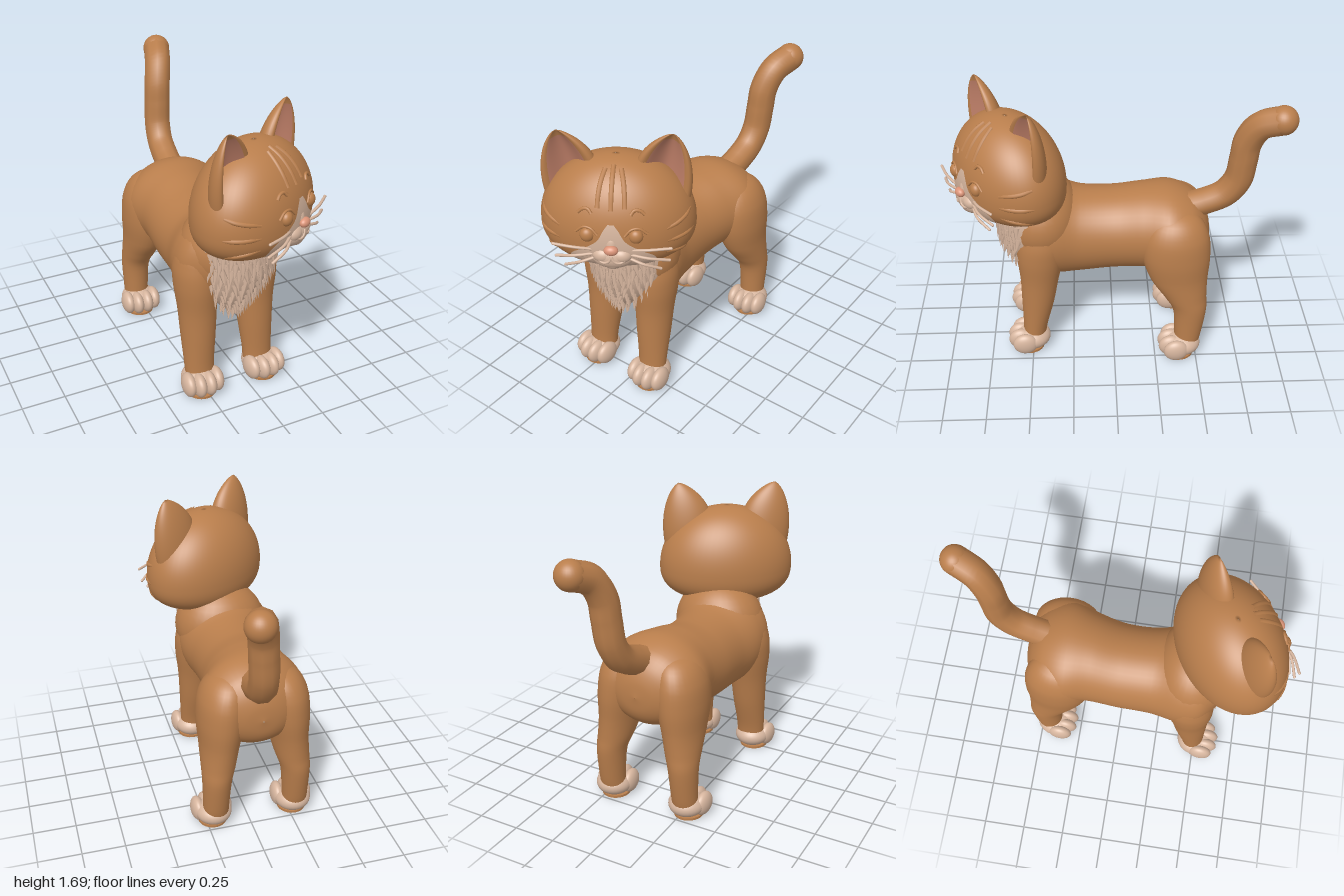
import * as THREE from 'three';
import { mergeGeometries } from 'three/addons/utils/BufferGeometryUtils.js';
import { ParametricGeometry } from 'three/addons/geometries/ParametricGeometry.js';

const V = (x, y, z) => new THREE.Vector3(x, y, z);
const material = (name, color) => {
  const m = new THREE.MeshStandardMaterial({ color });
  m.name = name;
  return m;
};

export function createModel() {
  const cat = new THREE.Group();
  cat.name = 'cat';
  const ginger = material('ginger fur', 0xb97e4c);
  const cream = material('cream fur', 0xd6b59e);
  const earPink = material('ear pink', 0xbf7f68);
  const nosePink = material('nose pink', 0xdb9478);

  const add = (parent, name, geometry, mat) => {
    const mesh = new THREE.Mesh(geometry, mat);
    mesh.name = name;
    parent.add(mesh);
    return mesh;
  };
  const ball = (parent, name, mat, p, s) => {
    const mesh = add(parent, name, new THREE.SphereGeometry(1, 32, 20), mat);
    mesh.position.set(...p);
    mesh.scale.set(...s);
    return mesh;
  };
  const surface = (parent, name, mat, fn, nu = 40, nv = 40) =>
    add(parent, name, new ParametricGeometry((u, v, out) => out.copy(fn(u, v)), nu, nv), mat);
  const tube = (parent, name, mat, points, r, n = 20) =>
    add(parent, name, new THREE.TubeGeometry(new THREE.CatmullRomCurve3(points), n, r, 10), mat);

  // Smooth elliptical sections; rows are [z, x, y, rx, ry] along z, or [y, x, z, rx, rz] along y
  const loft = (rows, axis) => {
    const spline = new THREE.CubicInterpolant(rows.map((_, i) => i), rows.flat(), 5);
    return (angle, v, grow = 0) => {
      const [h, x, c, ra, rb] = spline.evaluate(v * (rows.length - 1));
      const a = Math.max(ra, 0.001) + grow, b = Math.max(rb, 0.001) + grow;
      return axis === 'z'
        ? V(x + a * Math.cos(angle), c + b * Math.sin(angle), h)
        : V(x + a * Math.sin(angle), h, c + b * Math.cos(angle));
    };
  };
  const TAU = Math.PI * 2;

  // Torso and neck
  const torso = loft([
    [-0.575, -0.04, 0.76, 0.003, 0.003], [-0.56, -0.04, 0.76, 0.11, 0.1], [-0.52, -0.04, 0.77, 0.2, 0.175],
    [-0.45, -0.04, 0.78, 0.27, 0.23], [-0.33, -0.045, 0.79, 0.305, 0.26], [-0.18, -0.06, 0.785, 0.265, 0.255],
    [0, -0.08, 0.76, 0.25, 0.25], [0.2, -0.08, 0.755, 0.255, 0.265], [0.36, -0.08, 0.785, 0.29, 0.295],
    [0.48, -0.08, 0.81, 0.28, 0.27], [0.57, -0.07, 0.83, 0.2, 0.2], [0.62, -0.06, 0.83, 0.11, 0.12],
    [0.64, -0.06, 0.83, 0.003, 0.003]], 'z');
  surface(cat, 'torso', ginger, (u, v) => torso(u * TAU, v), 48, 64);
  ball(cat, 'neck', ginger, [-0.06, 0.87, 0.42], [0.28, 0.26, 0.235]);
  surface(cat, 'bellyPatch', cream, (u, v) =>
    torso(-Math.PI / 2 + (u - 0.5) * 1.1 * Math.sqrt(Math.sin(Math.PI * (0.01 + 0.98 * v))), 0.42 + v * 0.24, 0.004), 20, 20);

  // Legs and paws, each pair mirrored about its own midline
  const leg = (name, rows, mid, side) => {
    const shape = loft(rows.map(([y, x, ...r]) => [y, mid + side * x, ...r]), 'y');
    surface(cat, name, ginger, (u, v) => shape(u * TAU, v), 32, 36);
  };
  const paw = (name, x, z, side) => {
    const g = new THREE.Group();
    g.name = name;
    g.position.set(x, 0, z);
    g.rotation.y = side * 0.06;
    cat.add(g);
    ball(g, 'pawBody', cream, [0, 0.08, -0.015], [0.108, 0.072, 0.112]);
    [-0.083, -0.03, 0.03, 0.083].forEach((tx, i) =>
      ball(g, 'toe', cream, [tx, 0.078, i % 3 ? 0.055 : 0.03], [0.04, 0.07, 0.075]));
    const pad = add(g, 'pawPad', new THREE.CylinderGeometry(1, 1, 0.014, 32), ginger);
    pad.position.set(0, 0.007, 0.005);
    pad.scale.set(0.085, 1, 0.09);
  };
  const frontRows = [[0.09, 0.185, 0.49, 0.085, 0.07], [0.18, 0.185, 0.48, 0.088, 0.075], [0.35, 0.18, 0.458, 0.1, 0.098],
    [0.52, 0.178, 0.442, 0.11, 0.115], [0.68, 0.182, 0.43, 0.122, 0.138], [0.8, 0.18, 0.42, 0.12, 0.14],
    [0.9, 0.16, 0.42, 0.1, 0.11], [0.96, 0.14, 0.42, 0.003, 0.003]];
  const hindRows = [[0.08, 0.24, -0.44, 0.075, 0.075], [0.16, 0.24, -0.45, 0.076, 0.082], [0.33, 0.235, -0.455, 0.085, 0.1],
    [0.43, 0.22, -0.425, 0.1, 0.128], [0.55, 0.205, -0.385, 0.115, 0.17], [0.7, 0.19, -0.365, 0.137, 0.2],
    [0.84, 0.175, -0.36, 0.135, 0.19], [0.94, 0.15, -0.36, 0.1, 0.13], [1.0, 0.13, -0.36, 0.003, 0.003]];
  for (const [side, label] of [[-1, 'right'], [1, 'left']]) {
    leg(label + 'FrontLeg', frontRows, -0.08, side);
    paw(label + 'FrontPaw', -0.077 + side * 0.196, 0.52, side);
    leg(label + 'HindLeg', hindRows, -0.04, side);
    paw(label + 'HindPaw', -0.035 + side * 0.245, -0.4, side);
  }

  // Tail
  const tailPath = [V(-0.02, 0.93, -0.42), V(-0.01, 0.97, -0.54), V(0, 1.03, -0.65), V(0.01, 1.13, -0.715), V(0.02, 1.27, -0.735),
    V(0.03, 1.39, -0.75), V(0.06, 1.5, -0.81), V(0.1, 1.55, -0.92)];
  tube(cat, 'tail', ginger, tailPath, 0.082, 48);
  ball(cat, 'tailTip', ginger, [0.1, 1.55, -0.92], [0.082, 0.082, 0.081]);

  // Chest bib with overlapping tufts
  const chest = loft([[0.485, -0.075, 0.53, 0.01, 0.01], [0.55, -0.072, 0.49, 0.09, 0.09], [0.65, -0.06, 0.46, 0.18, 0.175],
    [0.77, -0.048, 0.455, 0.232, 0.22], [0.89, -0.045, 0.455, 0.245, 0.228], [1.0, -0.045, 0.455, 0.235, 0.22]], 'y');
  surface(cat, 'chestBib', cream, (u, v) => chest(u * TAU, v), 40, 30);
  const tufts = [];
  for (let row = 0; row < 13; row++) {
    const v = 0.1 + row * 0.07, count = 5 + Math.min(row, 8);
    for (let i = 0; i < count; i++) {
      const angle = ((i + (row % 2 ? 0.25 : 0.75)) / count - 0.5) * 2.3;
      const out = V(Math.sin(angle), 0, Math.cos(angle));
      const g = new THREE.ConeGeometry(0.024, 0.095, 7);
      g.scale(1, 1, 0.55);
      g.rotateX(Math.PI - 0.16);
      g.rotateZ(Math.sin(i * 4.1 + row * 2.3) * 0.22);
      g.rotateY(angle);
      const p = chest(angle, v).addScaledVector(out, 0.002);
      tufts.push(g.translate(p.x, p.y - 0.01, p.z));
    }
  }
  add(cat, 'chestTufts', mergeGeometries(tufts), cream);

  // Head, turned towards its left
  const head = new THREE.Group();
  head.name = 'head';
  head.position.set(-0.01, 0, 0.59);
  head.rotation.y = 0.56;
  cat.add(head);
  const skull = (phi, y, grow = 0) => {
    const t = Math.min(Math.abs(y < 1.18 ? (1.18 - y) / 0.22 : (y - 1.18) / 0.37), 0.99999);
    const p = y < 1.18 ? 2.6 : 2;
    const r = Math.pow(1 - Math.pow(t, p), 1 / p);
    return V((0.41 * r + grow) * Math.sin(phi), y, (0.29 * r + grow) * Math.cos(phi));
  };
  surface(head, 'skull', ginger, (u, v) => {
    const s = Math.sin((v - 0.5) * Math.PI);
    return skull(u * TAU, 1.18 + s * (s < 0 ? 0.22 : 0.37));
  }, 56, 56);

  // Pale muzzle and blaze
  const blaze = new THREE.CubicInterpolant([0.968, 1.05, 1.1, 1.15, 1.2, 1.27, 1.3], [0.66, 0.63, 0.55, 0.36, 0.19, 0.09, 0.04], 1);
  surface(head, 'muzzlePatch', cream, (u, v) => {
    const y = 0.968 + v * 0.332;
    return skull((u * 2 - 1) * blaze.evaluate(y)[0], y, 0.006);
  }, 30, 40);
  ball(head, 'muzzle', cream, [0, 1.1, 0.245], [0.115, 0.075, 0.07]);
  ball(head, 'chin', cream, [0, 1.06, 0.25], [0.05, 0.04, 0.05]);
  ball(head, 'noseBridge', cream, [0, 1.17, 0.265], [0.04, 0.07, 0.04]);
  ball(head, 'nose', nosePink, [0, 1.165, 0.308], [0.037, 0.027, 0.026]);

  for (const s of [-1, 1]) {
    // Cheeks, mouth and whiskers
    ball(head, 'whiskerPad', cream, [s * 0.045, 1.115, 0.268], [0.058, 0.044, 0.045]);
    tube(head, 'mouth', cream, [V(0, 1.125, 0.31), V(s * 0.015, 1.098, 0.313), V(s * 0.042, 1.088, 0.309),
      V(s * 0.068, 1.1, 0.298)], 0.007);
    [[1.145, 0.3, 1.17, 0.275], [1.122, 0.29, 1.09, 0.265], [1.1, 0.245, 1.035, 0.265]].forEach(([y0, x, y, z]) => {
      tube(head, 'whisker', cream, [V(s * 0.08, y0, 0.275), V(s * (x + 0.08) / 2, (y0 + y) / 2 + 0.008, 0.292), V(s * x, y, z)], 0.008, 12);
      ball(head, 'whiskerTip', cream, [s * x, y, z], [0.008, 0.008, 0.008]);
    });

    // Eyes and brows
    ball(head, 'eye', ginger, [s * 0.123, 1.23, 0.268], [0.037, 0.039, 0.03]);
    tube(head, 'eyelid', ginger, [-0.15, -0.06, 0.04, 0.14].map((d, i) =>
      skull(s * (0.32 + d), [1.238, 1.272, 1.274, 1.242][i], 0.003)), 0.007);
    tube(head, 'brow', ginger, [0.27, 0.33, 0.41, 0.47].map((a, i) =>
      skull(s * a, [1.345, 1.365, 1.362, 1.342][i], 0.003)), 0.009);

    // Raised fur ridges on cheeks and forehead
    [1.1, 1.17, 1.24].forEach((y, i) => tube(head, 'cheekRidge', ginger,
      [0.75, 0.95, 1.15, 1.35].map((a, k) => skull(s * a, y + (i - 1) * k * 0.014, -0.006 - (k % 3 ? 0 : 0.006))), 0.013));
    tube(head, 'foreheadRidge', ginger, [1.37, 1.43, 1.48, 1.52].map((y, i) =>
      skull(s * (0.2 + i * 0.02), y, -0.007)), 0.014);

    // Cupped ears with pink linings
    const ear = (a, t, lift = 0) => {
      const taper = Math.pow(Math.max(1 - Math.pow(t, 2.1), 0.0001), 0.72);
      const sn = Math.sin(a), w = 0.168 * taper * Math.cos(a), D = 0.095 * taper;
      const d = sn > 0 ? D * (0.9 * sn - 1.5 * sn ** 4) : D * sn;
      const tilt = 0.56 * (1 - t * 0.6);
      return V(s * (0.225 + 0.07 * t + w * Math.cos(tilt)), 1.345 + 0.34 * t - w * Math.sin(tilt), 0.005 + 0.02 * t + d + lift);
    };
    const flip = u => (s > 0 ? 1 - u : u);
    surface(head, 'ear', ginger, (u, v) => ear(flip(u) * TAU, v), 48, 32);
    surface(head, 'earLining', earPink, (u, v) => ear(0.8 + flip(u) * (Math.PI - 1.6), 0.05 + v * 0.83, 0.004), 24, 24);
  }
  tube(head, 'foreheadRidge', ginger, [1.36, 1.43, 1.49, 1.53].map(y => skull(0, y, -0.007)), 0.014);

  return cat;
}
